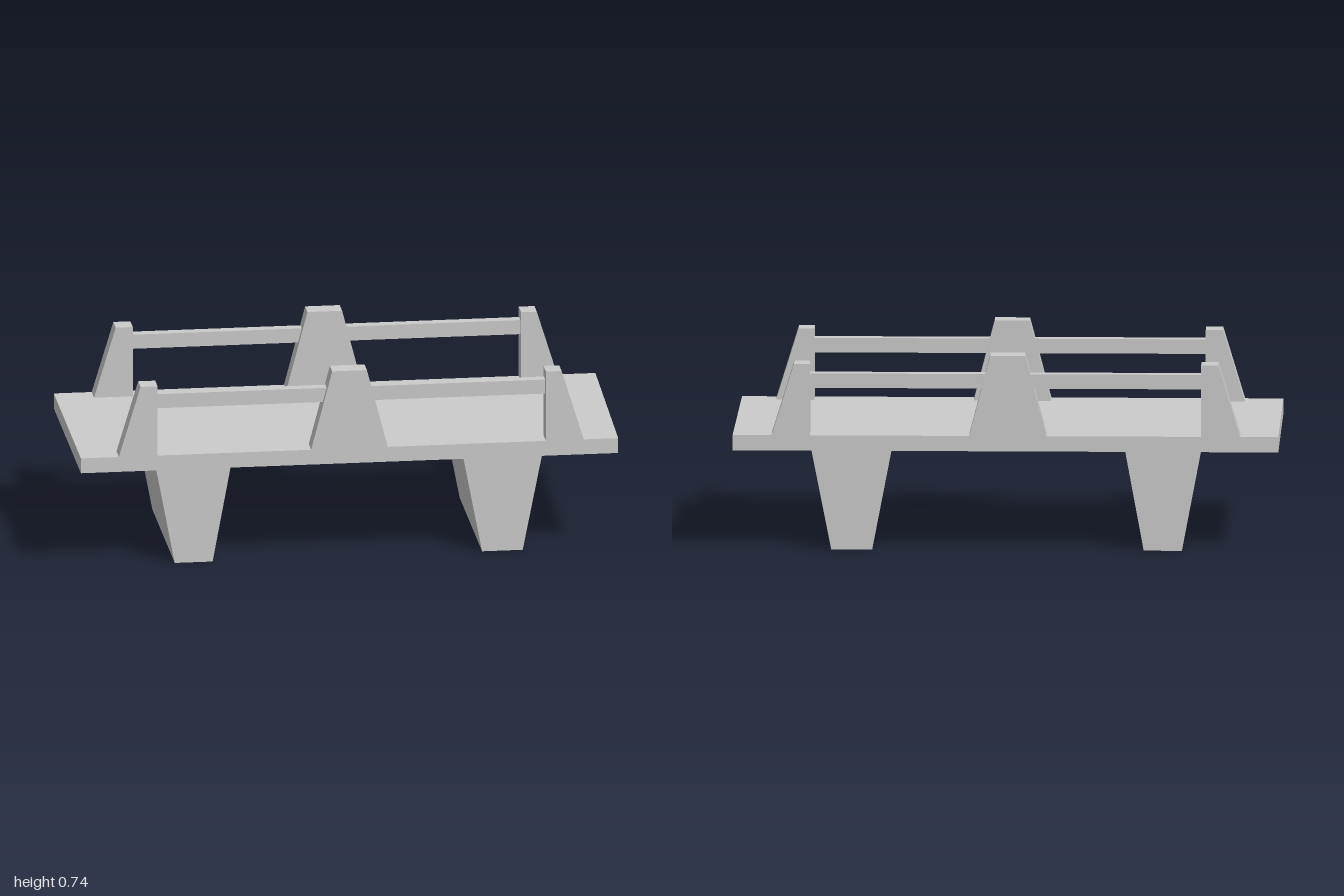
import * as THREE from 'three';

const material = new THREE.MeshStandardMaterial({ color: 0xcccccc, flatShading: true });

// Extrude an x-y outline between two z planes
function prism(name, points, z0, z1) {
  const shape = new THREE.Shape(points.map(([x, y]) => new THREE.Vector2(x, y)));
  const geometry = new THREE.ExtrudeGeometry(shape, { depth: z1 - z0, bevelEnabled: false });
  geometry.translate(0, 0, z0);
  const mesh = new THREE.Mesh(geometry, material);
  mesh.name = name;
  return mesh;
}

// Upright trapezoid outline: bottom edge, then top edge
const trapezoid = (b0, b1, t0, t1, y0, y1) => [[b0, y0], [b1, y0], [t1, y1], [t0, y1]];

export function createModel() {
  const group = new THREE.Group();
  group.name = 'bridge';
  const under = 0.38, top = 0.437;

  // Deck slab, with its left end slightly skewed towards the front
  const deckGeometry = new THREE.BoxGeometry(2, top - under, 0.798);
  const pos = deckGeometry.attributes.position;
  for (let i = 0; i < pos.count; i++) {
    if (pos.getX(i) > 0 && pos.getZ(i) > 0) pos.setX(i, 0.984);
  }
  deckGeometry.computeVertexNormals();
  const deck = new THREE.Mesh(deckGeometry, material);
  deck.name = 'deck';
  deck.position.y = (top + under) / 2;
  group.add(deck);

  // Tapered piers below the deck
  group.add(prism('rightPier', trapezoid(-0.645, -0.505, -0.717, -0.435, 0, under), -0.33, 0.33));
  group.add(prism('leftPier', trapezoid(0.49, 0.64, 0.417, 0.715, 0, under), -0.33, 0.33));

  // Parapet on each long side: three posts and a rail through the middle one
  for (const [side, z0, z1, r0, r1] of [
    ['front', 0.329, 0.399, 0.34, 0.378],
    ['back', -0.399, -0.329, -0.39, -0.352],
  ]) {
    const parapet = new THREE.Group();
    parapet.name = side + 'Parapet';
    parapet.add(
      prism('rightPost', trapezoid(-0.86, -0.717, -0.78, -0.717, top, 0.703), z0, z1),
      prism('middlePost', trapezoid(-0.15, 0.133, -0.072, 0.056, top, 0.735), z0, z1),
      prism('leftPost', trapezoid(0.717, 0.857, 0.717, 0.775, top, 0.703), z0, z1),
      prism('rail', trapezoid(-0.72, 0.72, -0.72, 0.72, 0.612, 0.666), r0, r1),
    );
    group.add(parapet);
  }
  return group;
}
